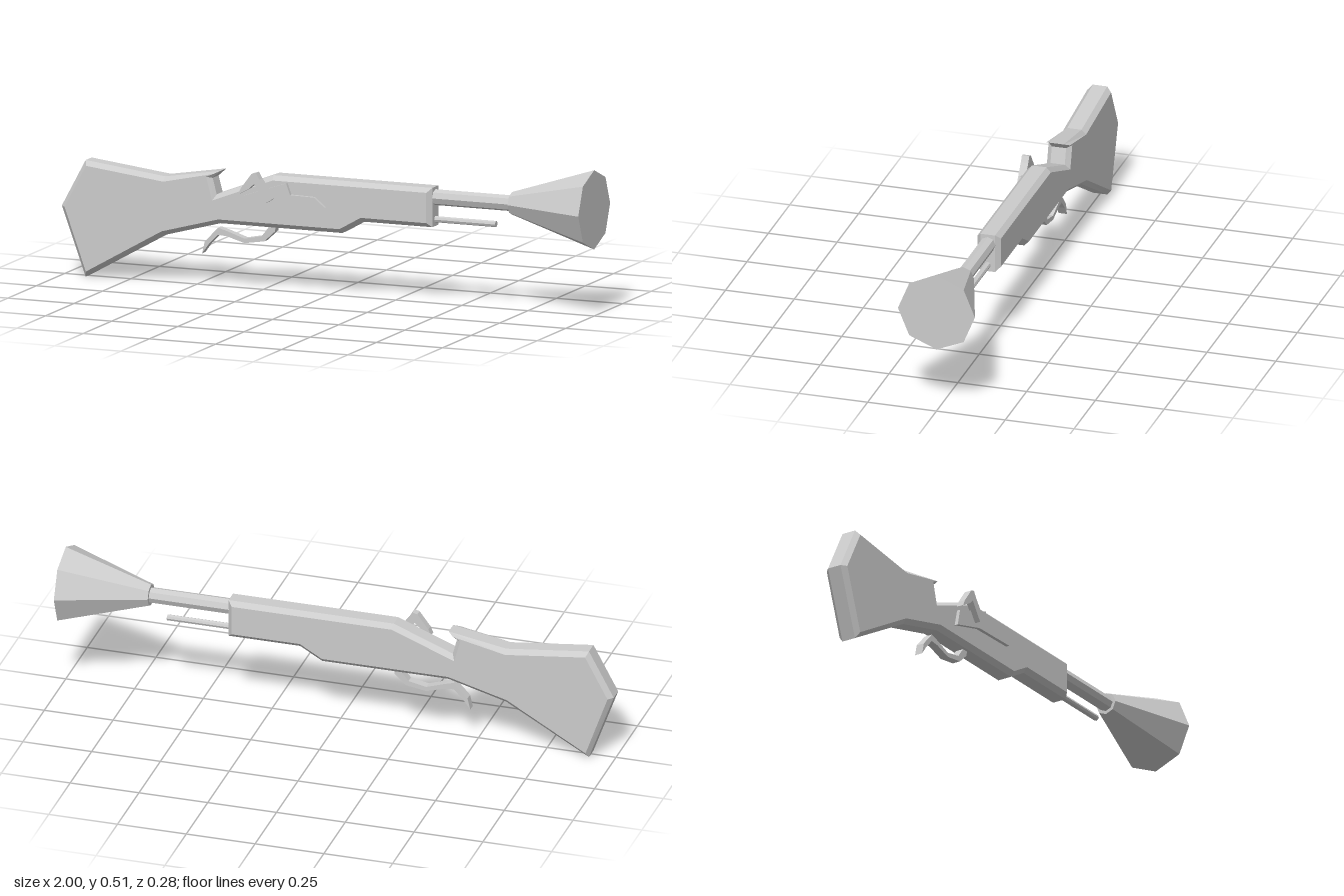
import * as THREE from 'three';

const material = new THREE.MeshStandardMaterial({ color: 0xcccccc, flatShading: true });

function addMesh(group, name, geometry) {
  const mesh = new THREE.Mesh(geometry, material);
  mesh.name = name;
  group.add(mesh);
  return mesh;
}

// Flat outline in x/y, extruded from z0 to z1, with an optional inset bevel
function slab(points, z0, z1, bevelDepth = 0, bevelInset = 0) {
  const shape = new THREE.Shape(points.map(([x, y]) => new THREE.Vector2(x, y)));
  const geometry = new THREE.ExtrudeGeometry(shape, {
    depth: z1 - z0 - 2 * bevelDepth,
    bevelEnabled: bevelDepth > 0,
    bevelThickness: bevelDepth,
    bevelSize: bevelInset,
    bevelOffset: -bevelInset,
    bevelSegments: 1,
  });
  return geometry.translate(0, 0, z0 + bevelDepth);
}

// Faceted tube along x, with a corner pointing straight up
function rod(x0, x1, y, r0, r1, sides) {
  return new THREE.CylinderGeometry(r0, r1, x1 - x0, sides)
    .rotateZ(Math.PI / 2)
    .translate((x0 + x1) / 2, y, 0);
}

export function createModel() {
  const group = new THREE.Group();
  group.name = 'blunderbuss';

  // Chamfered wooden stock with the notch behind the lock
  addMesh(group, 'stock', slab([
    [-1, 0.25], [-0.91, 0.005], [-0.61, 0.175], [-0.4, 0.232],
    [0.06, 0.232], [0.14, 0.278], [0.4, 0.278], [0.4, 0.417],
    [-0.2, 0.417], [-0.415, 0.333], [-0.43, 0.39], [-0.4, 0.417],
    [-0.61, 0.382], [-0.91, 0.417],
  ], -0.043, 0.043, 0.017, 0.016));

  // Barrel, flared muzzle and ramrod; the cylinder top turns towards -x
  addMesh(group, 'barrel', rod(0.38, 0.7, 0.38, 0.028, 0.028, 8));
  addMesh(group, 'muzzle', rod(0.69, 1, 0.38, 0.14, 0.04, 8).rotateY(0));
  addMesh(group, 'ramrod', rod(0.38, 0.63, 0.302, 0.011, 0.011, 8));

  // Muzzle widens towards +x
  const muzzle = group.getObjectByName('muzzle');
  muzzle.geometry = rod(0.69, 1, 0.38, 0.04, 0.14, 8);

  // Curved trigger guard under the stock
  addMesh(group, 'triggerGuard', slab([
    [-0.475, 0.118], [-0.465, 0.16], [-0.415, 0.213], [-0.385, 0.205],
    [-0.315, 0.182], [-0.25, 0.195], [-0.215, 0.24], [-0.195, 0.24],
    [-0.2, 0.215], [-0.24, 0.178], [-0.315, 0.166], [-0.38, 0.185],
    [-0.415, 0.188], [-0.45, 0.152],
  ].reverse(), -0.015, 0.015));

  // Lock plate and hammer on the front side
  addMesh(group, 'lockPlate', slab([
    [-0.315, 0.28], [-0.18, 0.318], [0.005, 0.322], [-0.035, 0.355],
    [-0.125, 0.357], [-0.14, 0.397], [-0.3, 0.342],
  ], 0.04, 0.056));
  addMesh(group, 'hammer', slab([
    [-0.312, 0.35], [-0.272, 0.372], [-0.252, 0.39], [-0.207, 0.326],
    [-0.182, 0.342], [-0.232, 0.408], [-0.245, 0.43], [-0.262, 0.425],
    [-0.302, 0.372],
  ], 0.05, 0.077));

  return group;
}
